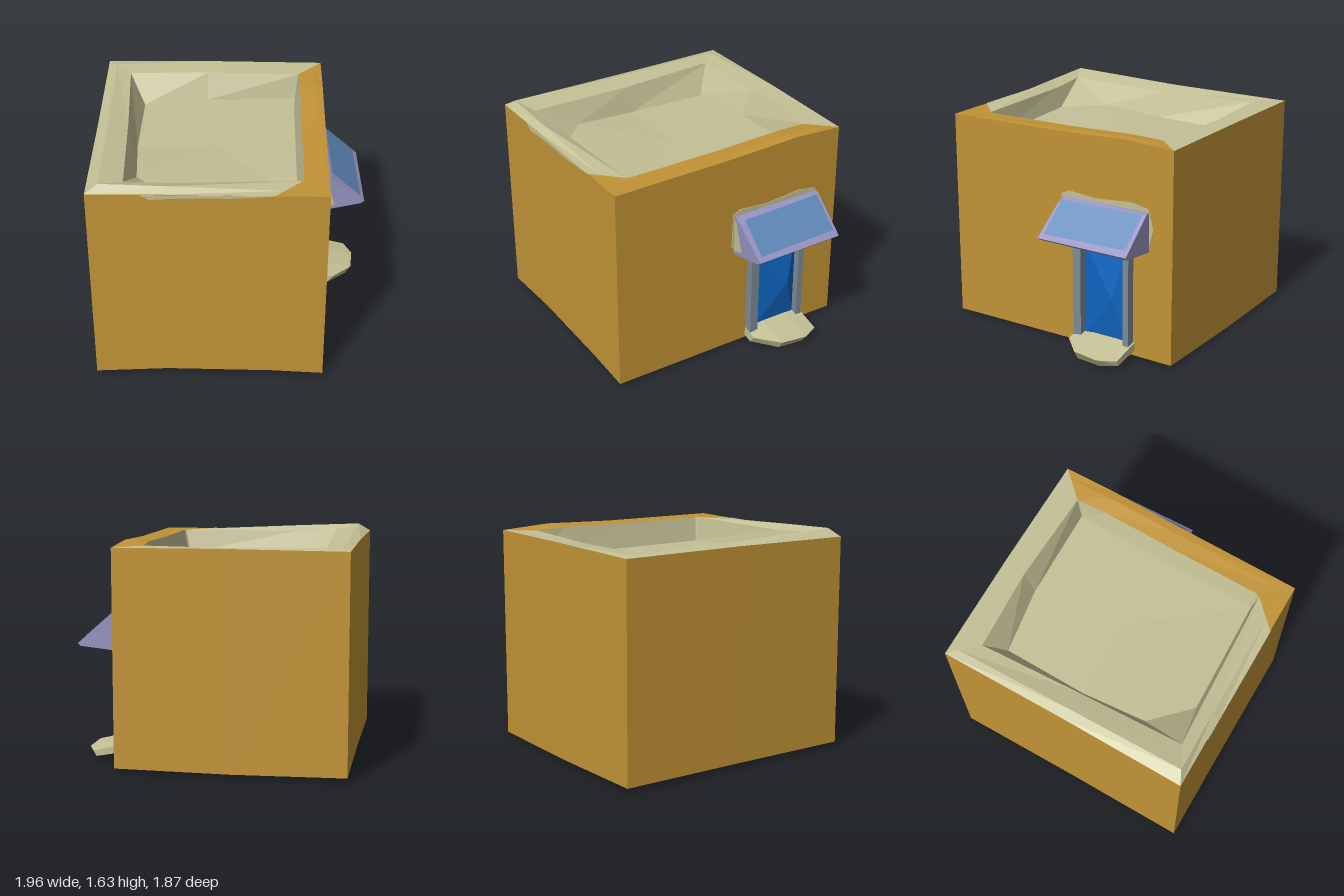
import * as THREE from 'three';

const mat = (name, color, side = THREE.FrontSide) => {
  const m = new THREE.MeshStandardMaterial({ color, flatShading: true, side });
  m.name = name;
  return m;
};

// Skins loops of [x, y, z] points; segs limits which columns are built
function loft(loops, segs) {
  const n = loops[0].length;
  const cols = segs || Array.from({ length: n }, (_, i) => i);
  const pos = [];
  for (let i = 0; i < loops.length - 1; i++) {
    for (const j of cols) {
      const k = (j + 1) % n;
      const a = loops[i][j], b = loops[i][k], c = loops[i + 1][k], d = loops[i + 1][j];
      pos.push(...a, ...b, ...c, ...a, ...c, ...d);
    }
  }
  const g = new THREE.BufferGeometry();
  g.setAttribute('position', new THREE.Float32BufferAttribute(pos, 3));
  g.computeVertexNormals();
  return g;
}

// Loop collapsed to one point, used to close a skin
const point = (p, n) => Array.from({ length: n }, () => p);
const centre = (loop) => [0, 1, 2].map((k) => loop.reduce((s, p) => s + p[k], 0) / loop.length);
const solid = (loops) => {
  const n = loops[0].length, last = loops[loops.length - 1];
  return loft([point(centre(loops[0]), n), ...loops, point(centre(last), n)]);
};
const profile = (z, pts) => pts.map(([x, y]) => [x, y, z]);

// Thin plate on the side wall, outline given as [z, y]
function sidePlate(pts, x, depth) {
  const s = new THREE.Shape(pts.map(([z, y]) => new THREE.Vector2(-z, y)));
  const g = new THREE.ExtrudeGeometry(s, { depth, bevelEnabled: false });
  return g.rotateY(Math.PI / 2).translate(x, 0, 0);
}

export function createModel() {
  const group = new THREE.Group();
  const add = (name, geometry, material) => {
    const mesh = new THREE.Mesh(geometry, material);
    mesh.name = name;
    group.add(mesh);
  };

  const ochre = mat('ochre wall', 0xc29336);
  const sand = mat('sand plaster', 0xc4c096);
  const blue = mat('door blue', 0x0f66c2, THREE.DoubleSide);
  const slate = mat('slate frame', 0x7d8a9a);
  const lavender = mat('lavender awning', 0x9692c0);
  const steel = mat('steel blue panel', 0x6088b8, THREE.DoubleSide);

  // Plan of the building, counterclockwise from the front right
  const outer = [
    [0.3, 1.57, 0.93], [0.67, 1.57, 0.93], [0.67, 1.58, 0], [0.67, 1.6, -0.55], [0.67, 1.58, -0.93],
    [-0.15, 1.585, -0.935], [-0.97, 1.58, -0.93], [-0.965, 1.58, 0], [-0.97, 1.57, 0.93], [-0.45, 1.575, 0.93],
  ];
  const inner = [
    [0.49, 1.57, 0.74], [0.5, 1.57, 0.72], [0.5, 1.575, 0], [0.5, 1.59, -0.5], [0.49, 1.58, -0.74],
    [-0.2, 1.575, -0.77], [-0.79, 1.58, -0.74], [-0.75, 1.57, 0], [-0.72, 1.59, 0.8], [-0.4, 1.57, 0.78],
  ];
  const floor = [
    [0.45, 1.39, 0.71], [0.46, 1.39, 0.69], [0.46, 1.39, 0], [0.46, 1.39, -0.5], [0.47, 1.39, -0.7],
    [-0.2, 1.38, -0.69], [-0.68, 1.37, -0.62], [-0.69, 1.38, 0], [-0.66, 1.42, 0.48], [-0.4, 1.42, 0.74],
  ];
  const lift = [0, 0, 0.005, 0.01, 0, 0, 0.01, 0.025, 0.05, 0.035];
  const crest = outer.map((p, i) => p.map((v, k) => v + (inner[i][k] - v) * 0.35 + (k === 1 ? lift[i] : 0)));

  // Walls and underside
  const footY = [0.05, 0.03, 0.03, 0.03, 0.025, 0.02, 0.03, 0.03, 0.03, 0.06];
  const foot = outer.map(([x, , z], i) => [x, footY[i], z]);
  add('walls', loft([point([-0.08, 0.0, 0.25], 10), foot, outer]), ochre);

  // Parapet top: painted like the wall along the door side, plastered elsewhere
  add('parapetDoorSide', loft([outer, crest, inner], [0, 1, 2, 3]), ochre);
  add('parapet', loft([outer, crest, inner], [4, 5, 6, 7, 8, 9]), sand);
  add('sunkenRoof', loft([inner, floor, point([-0.1, 1.38, 0], 10)]), sand);

  // Plaster running over the front edge
  const drip = new THREE.Shape([[-0.6, 1.57], [-0.54, 1.535], [-0.3, 1.55], [0, 1.55], [0.2, 1.562], [0.3, 1.572]]
    .map(([x, y]) => new THREE.Vector2(x, y)));
  add('plasterEdge', new THREE.ExtrudeGeometry(drip, { depth: 0.004, bevelEnabled: false }).translate(0, 0, 0.93), sand);

  // Plaster patch behind the awning
  add('awningSurround', sidePlate([[-0.01, 0.86], [-0.02, 1.13], [-0.08, 1.16], [-0.3, 1.14], [-0.6, 1.165],
    [-0.74, 1.14], [-0.78, 1.0], [-0.74, 0.84]], 0.668, 0.007), sand);

  // Sloping awning with its inset panel
  const far = profile(-0.745, [[0.66, 0.83], [0.95, 0.86], [0.97, 0.88], [0.71, 1.11], [0.66, 1.12]]);
  const near = profile(-0.035, [[0.66, 0.8], [0.96, 0.87], [0.99, 0.89], [0.74, 1.08], [0.66, 1.12]]);
  add('awning', solid([far, near]), lavender);
  const panelEdge = (z, dx) => profile(z, [[0.936 + dx, 0.919], [0.72 + dx, 1.111]]);
  add('awningPanel', loft([panelEdge(-0.72, 0), panelEdge(-0.07, 0.026)], [0]), steel);
  add('awningEndPlaster', loft([profile(-0.031, [[0.67, 0.83], [0.77, 0.86]]),
    profile(-0.031, [[0.67, 1.1], [0.7, 1.07]])], [0]).scale(1, 1, 1), sand);

  // Door jambs and lintel
  for (const [name, z, w] of [['rightJamb', -0.185, 0.065], ['leftJamb', -0.595, 0.045]]) {
    add(name, new THREE.BoxGeometry(0.08, 0.74, w).translate(0.695, 0.46, z), slate);
  }
  add('lintel', new THREE.BoxGeometry(0.07, 0.06, 0.42).translate(0.695, 0.81, -0.385), slate);

  // Door leaf, bulging slightly beside its middle
  const leaf = [[0.685, 0.11, -0.225], [0.685, 0.11, -0.57], [0.685, 0.8, -0.57], [0.685, 0.8, -0.225]];
  add('door', loft([leaf, point([0.735, 0.44, -0.48], 4)]), blue);

  // Doorstep with a clipped front corner
  add('doorstep', solid([
    profile(-0.63, [[0.66, 0.07], [0.88, 0.03], [0.9, 0.07], [0.66, 0.13]]),
    profile(-0.5, [[0.66, 0.05], [0.92, 0.012], [0.96, 0.07], [0.66, 0.14]]),
    profile(-0.3, [[0.66, 0.05], [0.9, 0.015], [0.94, 0.08], [0.66, 0.14]]),
    profile(-0.15, [[0.66, 0.05], [0.74, 0.03], [0.79, 0.09], [0.66, 0.12]]),
  ]), sand);

  return group;
}
